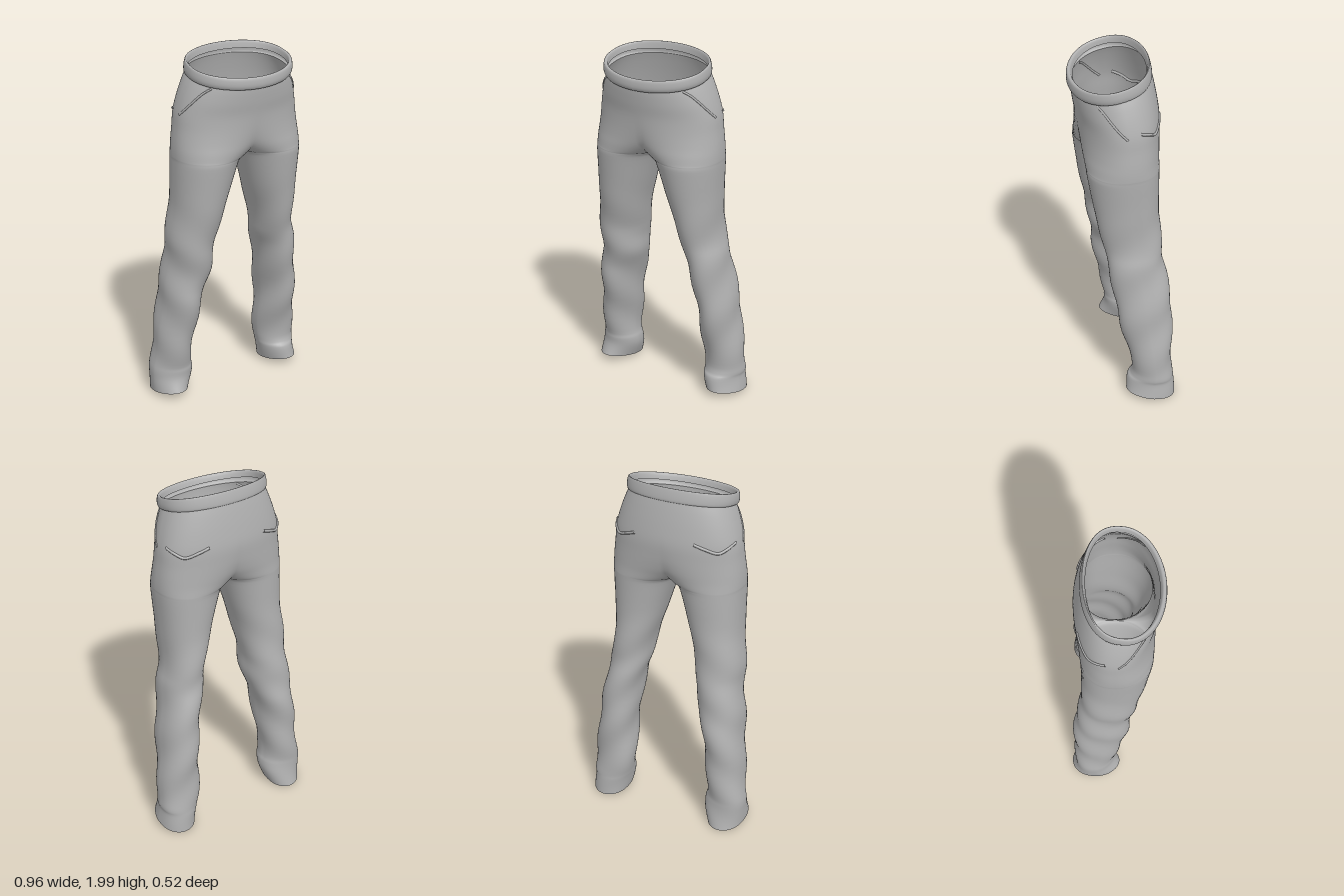
import * as THREE from 'three';
import { mergeVertices } from 'three/addons/utils/BufferGeometryUtils.js';

// Row: height at z = 0, inner x, outer x, front z, back z, slope of y along z.
// A negative inner x means the section is cut open at x = 0 (above the crotch).
const BAND = [
  [1.925, -0.284, 0.284, 0.225, -0.142, -0.24],
  [1.955, -0.288, 0.288, 0.236, -0.148, -0.24],
  [1.963, -0.296, 0.296, 0.247, -0.154, -0.24],
  [1.957, -0.303, 0.303, 0.257, -0.160, -0.24],
  [1.925, -0.307, 0.307, 0.260, -0.168, -0.24],
  [1.900, -0.303, 0.303, 0.252, -0.172, -0.23],
  [1.893, -0.294, 0.294, 0.240, -0.170, -0.22],
];
const HIPS = [
  [1.893, -0.294, 0.294, 0.240, -0.170, -0.22],
  [1.850, -0.312, 0.312, 0.238, -0.182, -0.17],
  [1.780, -0.336, 0.336, 0.232, -0.198, -0.09],
  [1.700, -0.356, 0.356, 0.222, -0.210, -0.03],
  [1.620, -0.290, 0.364, 0.215, -0.205, 0],
  [1.550, -0.190, 0.372, 0.210, -0.196, 0],
  [1.500, -0.100, 0.376, 0.208, -0.188, 0],
  [1.460, -0.030, 0.377, 0.205, -0.184, 0],
  [1.445, 0, 0.376, 0.204, -0.182, 0],
];
const LEFT_LEG = [
  [1.40, 0.025, 0.374, 0.200, -0.180, 0],
  [1.20, 0.090, 0.362, 0.170, -0.178, 0],
  [1.00, 0.148, 0.362, 0.130, -0.190, 0],
  [0.90, 0.168, 0.382, 0.115, -0.196, 0],
  [0.80, 0.190, 0.400, 0.098, -0.212, 0],
  [0.60, 0.224, 0.430, 0.070, -0.236, 0],
  [0.40, 0.233, 0.453, 0.030, -0.238, 0],
  [0.22, 0.234, 0.472, -0.015, -0.236, 0.02],
  [0.16, 0.242, 0.478, -0.010, -0.240, 0.06],
  [0.13, 0.250, 0.470, 0.012, -0.246, 0.10],
  [0.05, 0.276, 0.474, 0.030, -0.260, 0.16],
];
const RIGHT_LEG = [
  [1.40, 0.028, 0.376, 0.200, -0.180, 0],
  [1.20, 0.088, 0.378, 0.172, -0.178, 0],
  [1.00, 0.138, 0.398, 0.135, -0.190, 0],
  [0.90, 0.148, 0.402, 0.118, -0.196, 0],
  [0.80, 0.156, 0.408, 0.102, -0.212, 0],
  [0.70, 0.188, 0.420, 0.090, -0.226, 0],
  [0.60, 0.208, 0.430, 0.080, -0.236, 0],
  [0.40, 0.238, 0.448, 0.042, -0.238, 0],
  [0.22, 0.250, 0.470, 0.005, -0.236, 0.02],
  [0.17, 0.244, 0.474, 0.006, -0.240, 0.05],
  [0.12, 0.248, 0.472, 0.010, -0.248, 0.10],
  [0.05, 0.272, 0.476, 0.028, -0.260, 0.16],
];
const AROUND = 44;

// Smooth rows through the given ones, keeping each original row
function refine(rows, steps) {
  const out = [];
  for (let i = 0; i < rows.length - 1; i++) {
    const [a, b, c, d] = [rows[Math.max(i - 1, 0)], rows[i], rows[i + 1], rows[Math.min(i + 2, rows.length - 1)]];
    for (let s = 0; s < steps; s++) {
      const t = s / steps;
      out.push(b.map((v, k) => {
        const m0 = (c[k] - a[k]) / 2, m1 = (d[k] - v) / 2;
        return v + m0 * t + (3 * (c[k] - v) - 2 * m0 - m1) * t * t + (2 * (v - c[k]) + m0 + m1) * t ** 3;
      }));
    }
  }
  out.push(rows[rows.length - 1]);
  return out;
}

// Point on a section; u runs from the front centre (or inseam) round the outside to the back
function sectionPoint([y, xi, xo, zf, zb, slope], u, side) {
  const cx = (xi + xo) / 2, rx = (xo - xi) / 2, zc = (zf + zb) / 2;
  const open = xi < -1e-6;
  const start = open ? Math.acos(-Math.min(cx / rx, 1)) : Math.PI;
  const a = start * (1 - 2 * u), s = Math.sin(a);
  const low = THREE.MathUtils.clamp((1 - y) / 0.6, 0, 1);
  const power = s > 0 ? 1 + 0.15 * low : 0.8;
  let x = cx + rx * Math.cos(a);
  let z = zc + (zf - zb) / 2 * Math.sign(s) * Math.abs(s) ** power;
  // soft cloth folds below the crotch
  const fold = 0.006 * THREE.MathUtils.clamp((1.3 - y) / 0.4, 0, 1) * Math.sin(y * 21 + a * 2 + side);
  x += fold * Math.cos(a);
  z += fold * s;
  if (open && (u === 0 || u === 1)) x = 0;
  return new THREE.Vector3(side * x, y + slope * z, z);
}

// Left and right halves lofted together and welded, so shading runs across the seams
function loft(leftRows, rightRows) {
  const pos = [], index = [];
  for (const [rows, side] of [[leftRows, 1], [rightRows, -1]]) {
    const base = pos.length / 3, w = AROUND + 1;
    for (const row of rows)
      for (let j = 0; j <= AROUND; j++) pos.push(...sectionPoint(row, j / AROUND, side).toArray());
    for (let i = 0; i < rows.length - 1; i++)
      for (let j = 0; j < AROUND; j++) {
        const a = base + i * w + j, b = a + 1, c = a + w, d = c + 1;
        if (side > 0) index.push(a, c, b, b, c, d);
        else index.push(a, b, c, b, d, c);
      }
  }
  let geo = new THREE.BufferGeometry();
  geo.setAttribute('position', new THREE.Float32BufferAttribute(pos, 3));
  geo.setIndex(index);
  geo = mergeVertices(geo, 1e-4);
  geo.computeVertexNormals();
  return geo;
}

export function createModel() {
  const group = new THREE.Group();
  const cloth = new THREE.MeshStandardMaterial({ color: 0xb0b0b0, side: THREE.DoubleSide });
  cloth.name = 'grey cloth';
  const add = (name, geo) => {
    const mesh = new THREE.Mesh(geo, cloth);
    mesh.name = name;
    group.add(mesh);
  };

  // Waistband with a rolled top edge, then hips and legs as one garment
  const band = refine(BAND, 3);
  add('waistband', loft(band, band));
  const cut = HIPS.length - 1;
  const half = (leg) => {
    const rows = refine([...HIPS, ...leg], 4);
    rows.forEach((r, i) => { if (i < cut * 4) r[1] = Math.min(r[1], -1e-4); });
    return rows;
  };
  const left = half(LEFT_LEG), right = half(RIGHT_LEG);
  // both halves share the rows above the crotch
  for (let i = 0; i <= cut * 4; i++) right[i] = left[i];
  add('hipsAndLegs', loft(left, right));

  // Pocket edges: thin rolls of cloth lying on the hips, as [row, u] paths
  const roll = (name, path, radius) => {
    for (const side of [1, -1]) {
      const points = path.map(([row, u]) => sectionPoint(left[row], u, side));
      add((side > 0 ? 'left' : 'right') + name,
        new THREE.TubeGeometry(new THREE.CatmullRomCurve3(points), 24, radius, 6));
    }
  };
  roll('FrontPocket', [[1, 0.3], [4, 0.34], [7, 0.38], [10, 0.43], [12, 0.48]], 0.006);
  roll('BackPocket', [[11, 0.56], [12, 0.63], [13, 0.7], [12, 0.78], [11, 0.84]], 0.008);
  return group;
}
